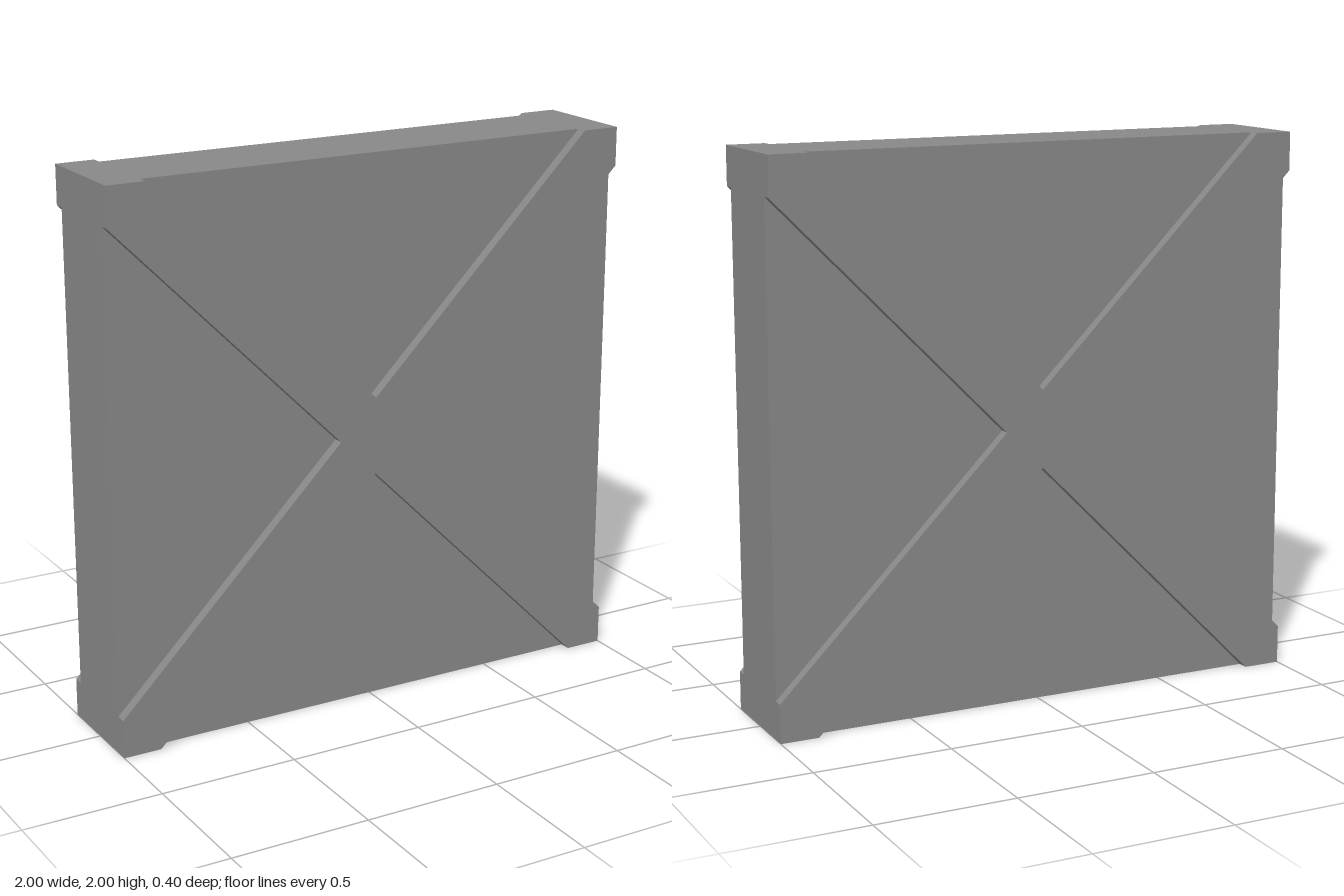
import * as THREE from 'three';

const HALF = 1;        // half width of the square panel
const CORNER = 0.14;   // where the diagonal braces leave the corner
const CORE = 0.16;     // half depth of the recessed core
const FACE = 0.2;      // half depth at the braces

// X-shaped outline, one quarter turn at a time
function crossShape() {
  const points = [];
  for (let i = 0; i < 4; i++) {
    const quarter = [[CORNER, 0], [HALF, HALF - CORNER], [HALF, HALF], [HALF - CORNER, HALF]];
    for (const [x, y] of quarter) {
      points.push(new THREE.Vector2(x, y).rotateAround(new THREE.Vector2(), i * Math.PI / 2));
    }
  }
  return new THREE.Shape(points);
}

export function createModel() {
  const model = new THREE.Group();
  model.name = 'crossBracedPanel';
  const material = new THREE.MeshStandardMaterial({ color: 0x888888, flatShading: true });

  // Recessed square core
  const core = new THREE.Mesh(new THREE.BoxGeometry(2 * HALF, 2 * HALF, 2 * CORE), material);
  core.name = 'core';
  core.position.y = HALF;
  model.add(core);

  // Raised diagonal cross on the front and the back
  const crossGeometry = new THREE.ExtrudeGeometry(crossShape(), { depth: FACE - CORE, bevelEnabled: false });
  crossGeometry.translate(0, 0, CORE);
  for (const [name, turn] of [['frontCross', 0], ['backCross', Math.PI]]) {
    const cross = new THREE.Mesh(crossGeometry, material);
    cross.name = name;
    cross.position.y = HALF;
    cross.rotation.y = turn;
    model.add(cross);
  }
  return model;
}
